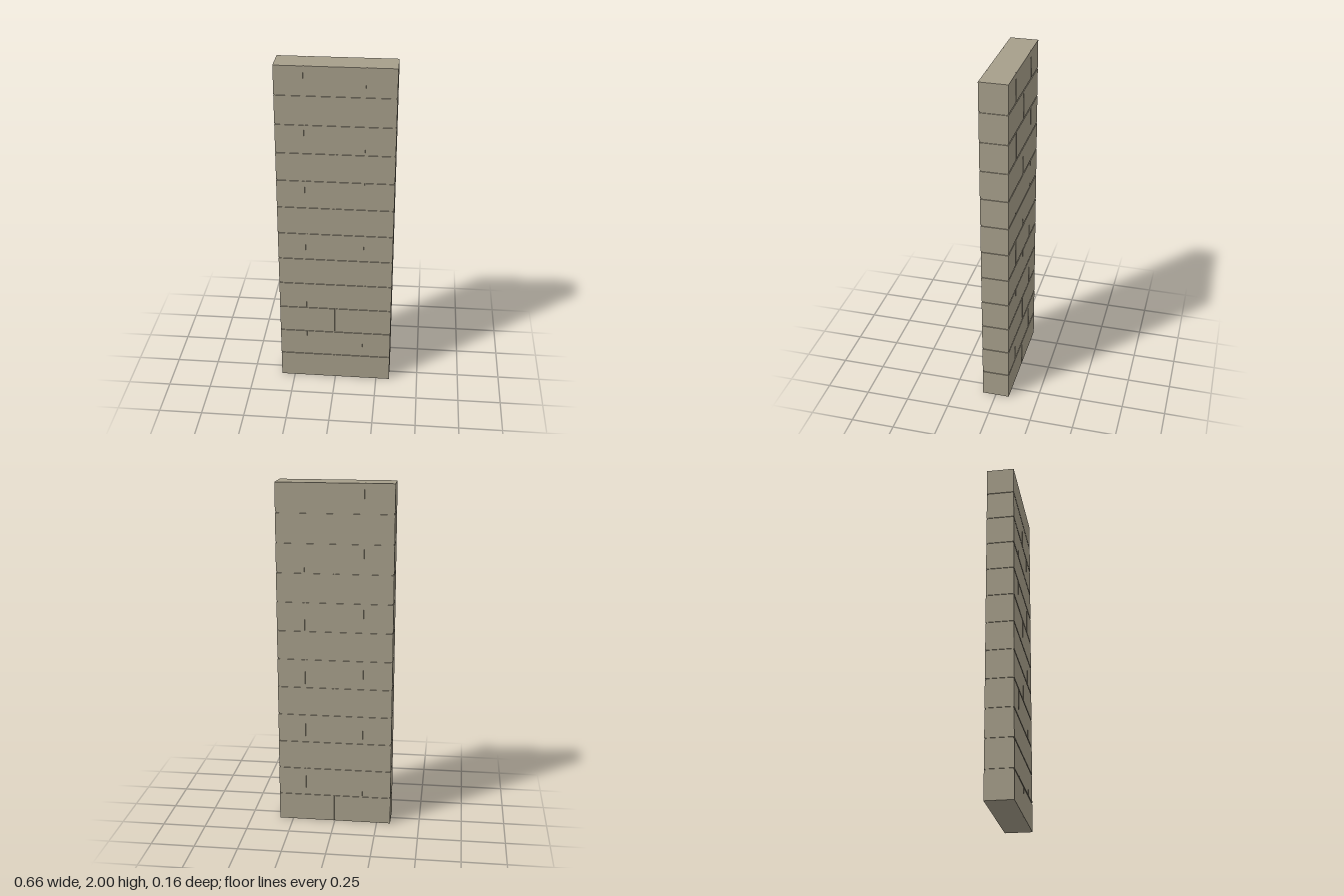
import * as THREE from 'three';

const W = 0.66, D = 0.158, H = 2;    // overall wall size
const ROWS = 12, GAP = 0.0075;       // courses and joint width
const GROOVE = 0.0045;               // joint depth
const ROW_H = (H - GAP * (ROWS - 1)) / ROWS;

// Plan outline of one course, notched front and back at each vertical joint
function courseShape(joints) {
  const edge = [[-W / 2, D / 2]];
  for (const x of joints) {
    const a = x - GAP / 2, b = x + GAP / 2, inner = D / 2 - GROOVE;
    edge.push([a, D / 2], [a, inner], [b, inner], [b, D / 2]);
  }
  edge.push([W / 2, D / 2]);
  const back = edge.map(([x, z]) => [x, -z]).reverse();
  return new THREE.Shape([...edge, ...back].map(([x, z]) => new THREE.Vector2(x, z)));
}

function courseGeometry(joints) {
  const geo = new THREE.ExtrudeGeometry(courseShape(joints), { depth: ROW_H, bevelEnabled: false });
  return geo.rotateX(-Math.PI / 2); // extrude upward
}

export function createModel() {
  const wall = new THREE.Group();
  wall.name = 'brickWall';
  const stone = new THREE.MeshStandardMaterial({ color: 0xa69e8a });
  stone.name = 'stone';

  const courses = [courseGeometry([0]), courseGeometry([-W / 4 - 0.002, W / 4 + 0.002])];
  const bed = new THREE.BoxGeometry(W - 2 * GROOVE, GAP, D - 2 * GROOVE);

  for (let i = 0; i < ROWS; i++) {
    const y = i * (ROW_H + GAP);
    const course = new THREE.Mesh(courses[i % 2], stone);
    course.name = `brickCourse${i + 1}`;
    course.position.y = y;
    wall.add(course);

    // Recessed bed joint above each course but the last
    if (i < ROWS - 1) {
      const joint = new THREE.Mesh(bed, stone);
      joint.name = `bedJoint${i + 1}`;
      joint.position.y = y + ROW_H + GAP / 2;
      wall.add(joint);
    }
  }
  return wall;
}
